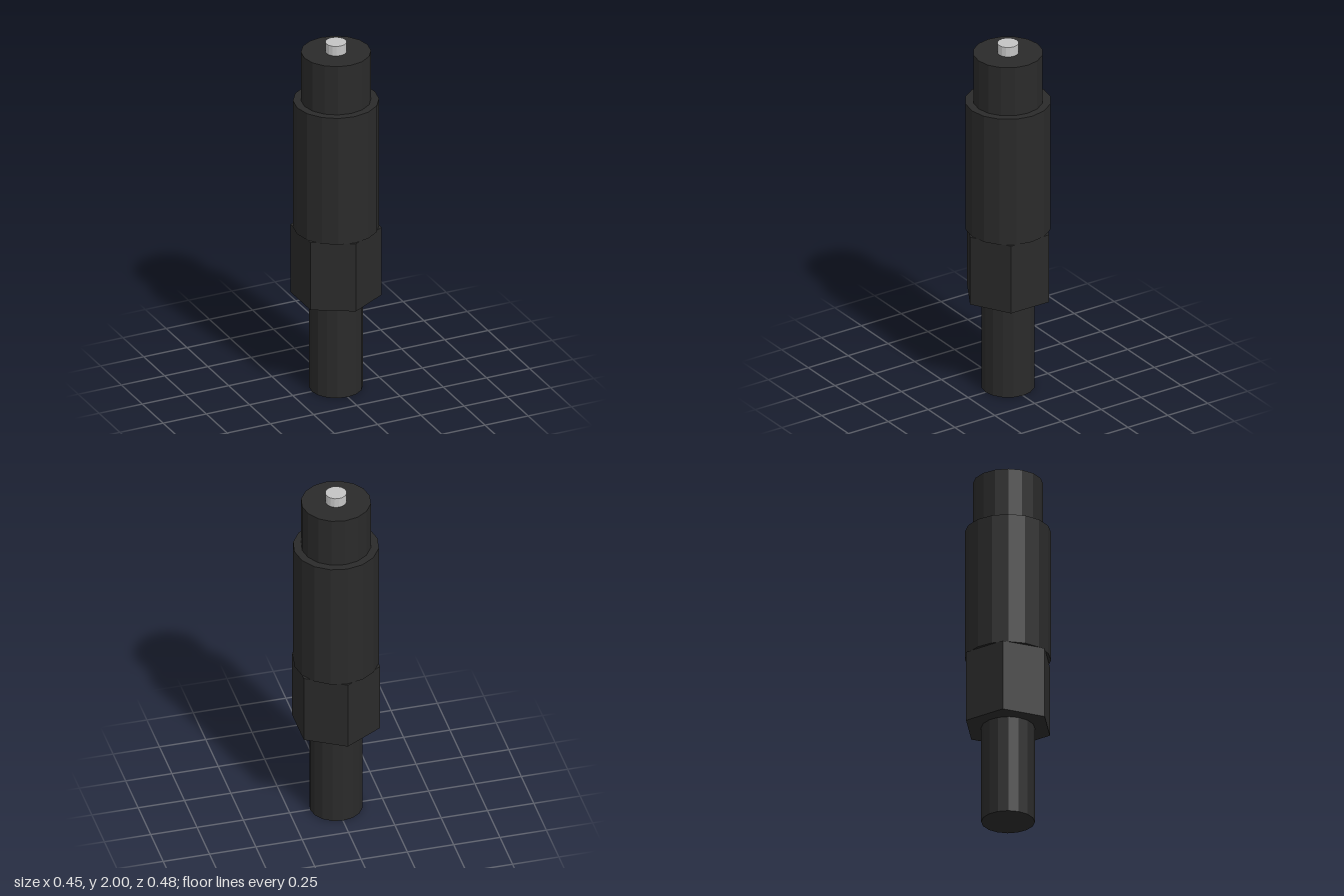
import * as THREE from 'three';

export function createModel() {
  const group = new THREE.Group();
  const black = new THREE.MeshStandardMaterial({ name: 'matte black', color: 0x2a2a2a, flatShading: true });
  const metal = new THREE.MeshStandardMaterial({ name: 'light metal', color: 0xc4c4c4, flatShading: true });

  // Upright prism between two heights, first corner facing +z
  function section(name, radius, bottom, top, sides, material) {
    const mesh = new THREE.Mesh(new THREE.CylinderGeometry(radius, radius, top - bottom, sides), material);
    mesh.name = name;
    mesh.position.y = (bottom + top) / 2;
    group.add(mesh);
  }

  section('lowerShaft', 0.14, 0, 0.54, 16, black);
  section('hexNut', 0.238, 0.54, 0.932, 6, black);
  section('barrel', 0.225, 0.932, 1.665, 16, black);
  section('collar', 0.183, 1.665, 1.945, 16, black);
  section('contactPin', 0.056, 1.945, 2, 16, metal);

  return group;
}
